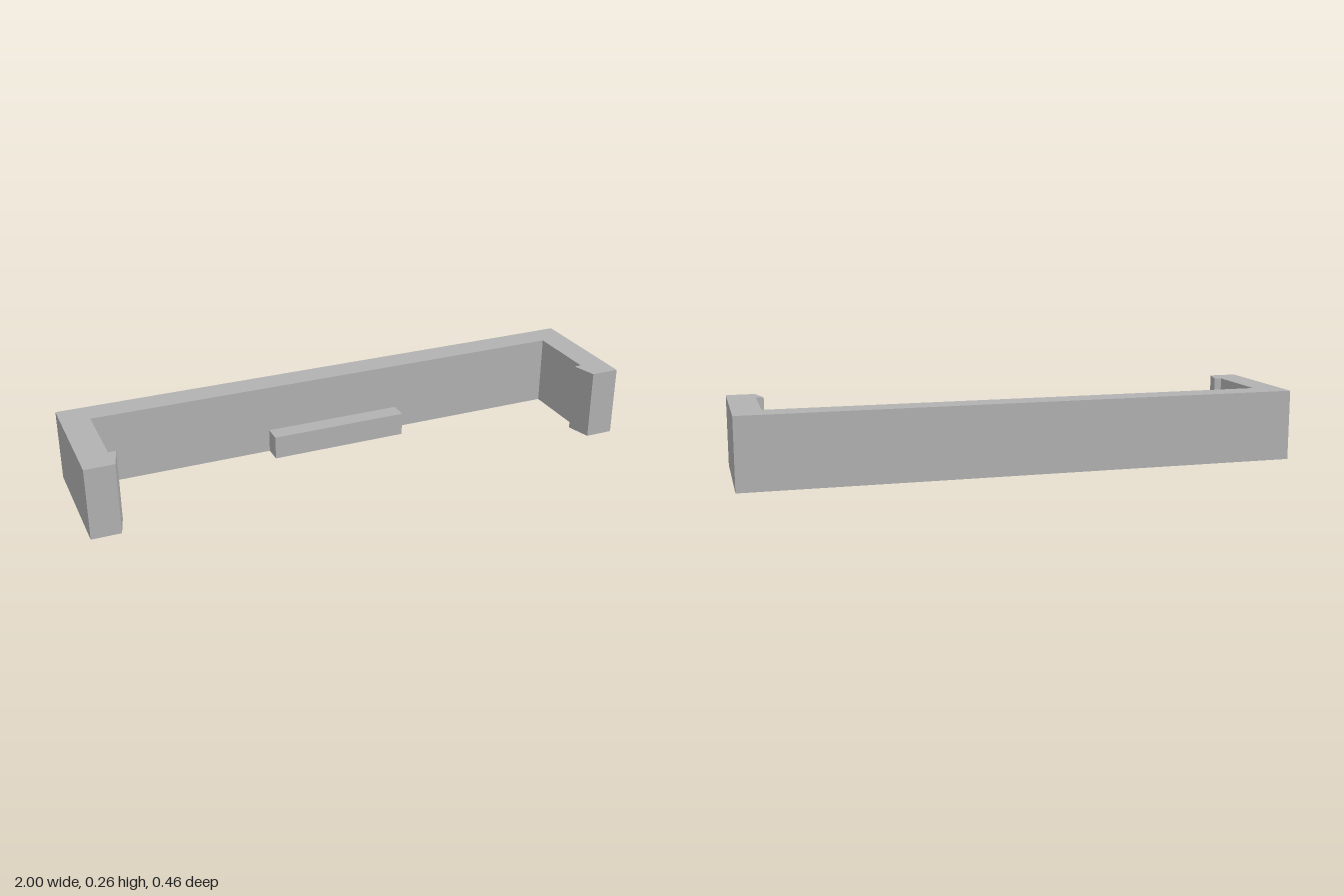
import * as THREE from 'three';

const HEIGHT = 0.256;

export function createModel() {
  const model = new THREE.Group();
  model.name = 'clipBracket';
  const grey = new THREE.MeshStandardMaterial({ color: 0xb2b2b2 });
  grey.name = 'grey';

  // Right half of the plan outline as [x, z], from inner back wall to outer back corner
  const half = [
    [0.9, -0.13], [0.9, 0.14], [0.873, 0.14], [0.897, 0.229],
    [1, 0.229], [1, -0.229],
  ];
  const mirrored = half.map(([x, z]) => [-x, z]).reverse();
  const outline = [...half, ...mirrored].map(([x, z]) => new THREE.Vector2(x, -z));

  // Back bar with two hooked arms, extruded upwards
  const bracketGeometry = new THREE.ExtrudeGeometry(new THREE.Shape(outline), {
    depth: HEIGHT, bevelEnabled: false,
  });
  bracketGeometry.rotateX(-Math.PI / 2);
  const bracket = new THREE.Mesh(bracketGeometry, grey);
  bracket.name = 'hookedBracket';
  model.add(bracket);

  // Small ledge on the inside of the back bar, flush with the base
  const ledge = new THREE.Mesh(new THREE.BoxGeometry(0.51, 0.085, 0.066), grey);
  ledge.name = 'ledge';
  ledge.position.set(0, 0.0425, -0.097);
  model.add(ledge);

  return model;
}
